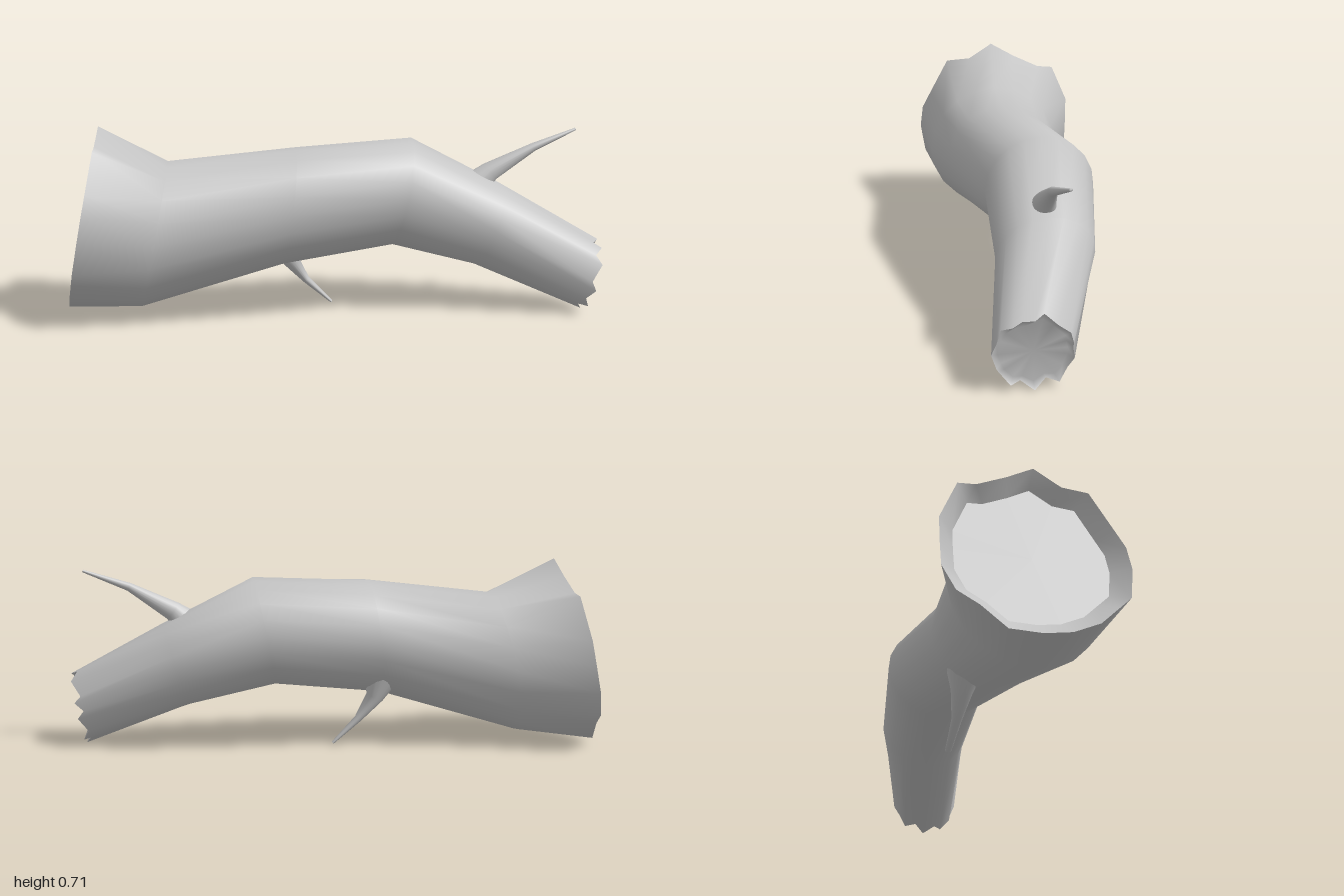
import * as THREE from 'three';

const SIDES = 20;
const V = (x, y, z) => new THREE.Vector3(x, y, z);
const angle = (j) => (j / SIDES) * Math.PI * 2; // from +z towards +y
const ringOf = (fn) => Array.from({ length: SIDES }, (_, j) => fn(angle(j), j));

// Skin a list of rings, running along +x, with smooth normals
function loft(rings) {
  const pos = [], index = [];
  rings.forEach((ring) => ring.forEach((p) => pos.push(p.x, p.y, p.z)));
  for (let i = 0; i < rings.length - 1; i++) {
    for (let j = 0; j < SIDES; j++) {
      const k = (j + 1) % SIDES;
      const a = i * SIDES + j, b = a + SIDES, c = i * SIDES + k, d = c + SIDES;
      index.push(a, b, c, c, b, d);
    }
  }
  const geo = new THREE.BufferGeometry();
  geo.setAttribute('position', new THREE.Float32BufferAttribute(pos, 3));
  geo.setIndex(index);
  geo.computeVertexNormals();
  return geo;
}

// Tilted ellipse through a top and a bottom point, between two depths,
// with an optional bulge on the upper front
function trunkRing([tx, ty, bx, by, z0, z1, bulge]) {
  return ringOf((a) => {
    const k = 1 + bulge * Math.max(0, Math.cos(2 * (a - 0.9))) * (a < Math.PI ? 1 : 0);
    const s = (1 + k * Math.sin(a)) / 2;
    return V(bx + (tx - bx) * s, by + (ty - by) * s, (z0 + z1) / 2 + ((z1 - z0) / 2) * k * Math.cos(a));
  });
}

// Flat copy of a rim, pulled towards its centre and pushed along x
function inset(rim, scale, dx, slope) {
  const c = rim.reduce((s, p) => s.add(p), V(0, 0, 0)).divideScalar(SIDES);
  return rim.map((p) => {
    const q = c.clone().lerp(p, scale);
    q.x = c.x + (q.y - c.y) * slope + dx;
    return q;
  });
}

// Tapering twig along points [x, y, z, radius in profile, radius in depth]
function twig(points) {
  const rings = points.map(([x, y, z, r, rz], i) => {
    const p = points[Math.max(i - 1, 0)], n = points[Math.min(i + 1, points.length - 1)];
    const t = V(n[0] - p[0], n[1] - p[1], 0).normalize();
    return ringOf((a) => V(x - t.y * r * Math.sin(a), y + t.x * r * Math.sin(a), z + rz * Math.cos(a)));
  });
  const [x, y, z] = points[points.length - 1];
  rings.push(ringOf(() => V(x, y, z)));
  return loft(rings);
}

export function createModel() {
  const log = new THREE.Group();
  log.name = 'brokenLog';
  const bark = new THREE.MeshStandardMaterial({ color: 0xc4c4c4, side: THREE.DoubleSide });
  bark.name = 'greyBark';
  const add = (name, geo) => {
    const mesh = new THREE.Mesh(geo, bark);
    mesh.name = name;
    log.add(mesh);
  };

  // Ragged flared rim at the thick end, as [z, y] points
  const wideRim = [
    [0.33, 0.34], [0.32, 0.43], [0.285, 0.5], [0.212, 0.645], [0.115, 0.651],
    [0.02, 0.715], [-0.08, 0.655], [-0.19, 0.6], [-0.255, 0.593], [-0.325, 0.435],
    [-0.328, 0.34], [-0.328, 0.24], [-0.285, 0.15], [-0.21, 0.105], [-0.125, 0.03],
    [-0.01, 0.03], [0.09, 0.05], [0.19, 0.1], [0.26, 0.17], [0.31, 0.22],
  ].map(([z, y]) => V(-1 + 0.185 * (y - 0.03), y, z));

  // Splintered rim at the thin end, as [z, y] points
  const thinRim = [
    [0.297, 0.14], [0.285, 0.2], [0.268, 0.235], [0.235, 0.255], [0.2, 0.262],
    [0.165, 0.275], [0.13, 0.287], [0.09, 0.255], [0.04, 0.205], [0.035, 0.18],
    [0.03, 0.15], [0.03, 0.12], [0.045, 0.07], [0.075, 0.03], [0.115, 0.035],
    [0.155, 0.003], [0.2, 0.032], [0.235, 0.03], [0.27, 0.07], [0.283, 0.1],
  ].map(([z, y], j) => V(0.96 + 0.2 * (y - 0.155) + (j % 2 ? 0.014 : -0.014), y, z));

  // Bent trunk: top x, top y, bottom x, bottom y, back z, front z, bulge
  const body = [
    [-0.62, 0.585, -0.73, 0.04, -0.22, 0.31, 0],
    [-0.15, 0.63, -0.2, 0.195, -0.135, 0.29, 0.07],
    [0.3, 0.655, 0.22, 0.245, -0.185, 0.215, 0],
    [0.64, 0.48, 0.54, 0.168, -0.12, 0.228, 0],
  ].map(trunkRing);
  add('trunk', loft([wideRim, ...body, thinRim]));

  // Sunken broken face with a short inner wall at the thick end
  const thickFace = inset(wideRim, 0.82, 0.05, 0.185);
  add('thickEndWall', loft([thickFace, wideRim]));
  add('thickEndFace', loft([inset(wideRim, 0, 0.05, 0), thickFace]));

  // Shallow broken face running out to the splinters at the thin end
  add('thinEndFace', loft([thinRim, inset(thinRim, 0.85, -0.015, 0.2), inset(thinRim, 0, -0.015, 0)]));

  // Two broken twigs
  add('upperTwig', twig([
    [0.5, 0.42, 0.06, 0.085, 0.06], [0.6, 0.525, 0.055, 0.038, 0.036],
    [0.765, 0.618, 0.065, 0.016, 0.017], [0.935, 0.682, 0.042, 0.005, 0.007],
  ]));
  add('lowerTwig', twig([
    [-0.2, 0.32, 0.0, 0.1, 0.09], [-0.165, 0.19, -0.012, 0.034, 0.042],
    [-0.1, 0.105, -0.012, 0.014, 0.02], [-0.002, 0.014, -0.016, 0.005, 0.012],
  ]));
  return log;
}
